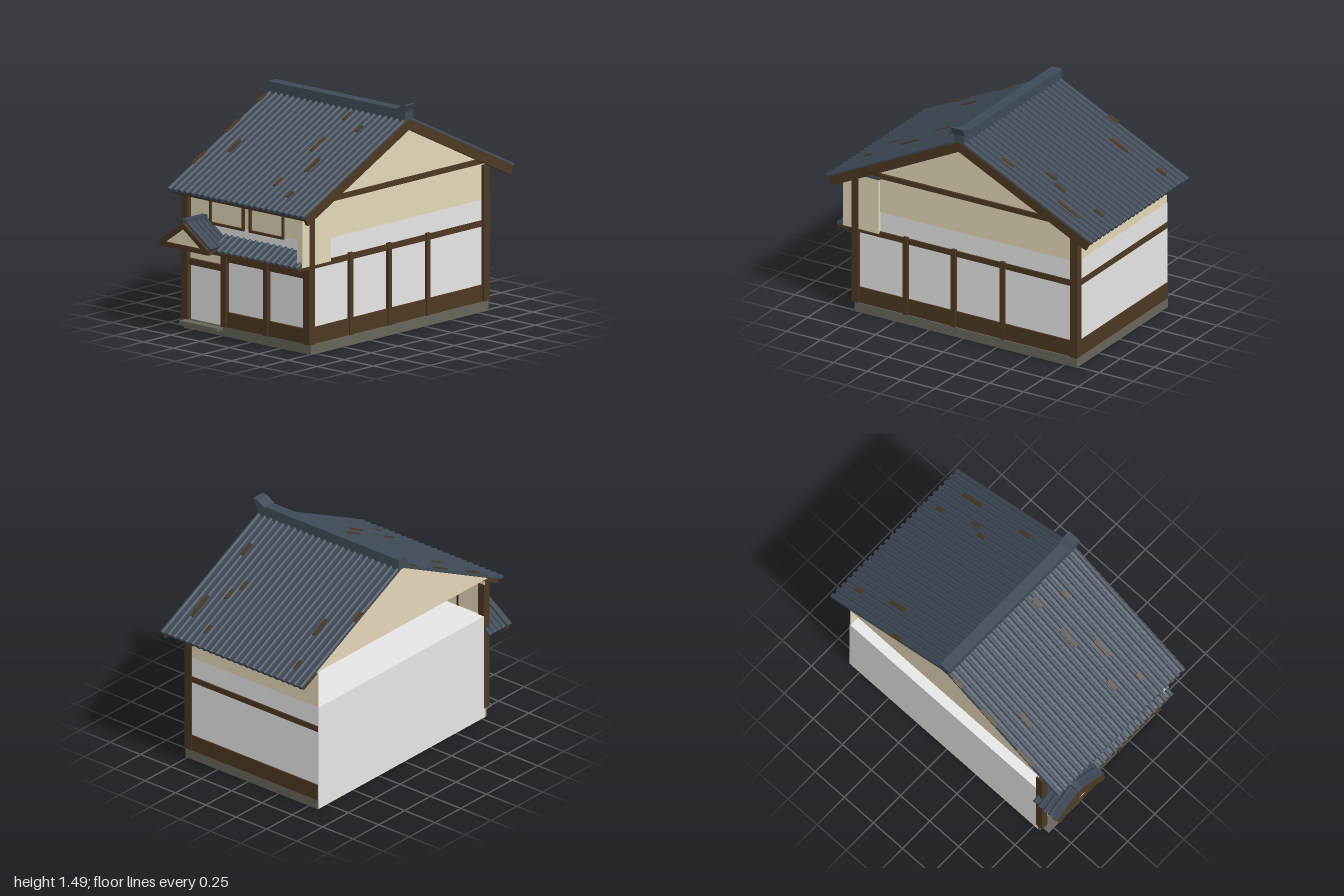
import * as THREE from 'three';

const mat = (name, color) => {
  const m = new THREE.MeshStandardMaterial({ color, side: THREE.DoubleSide });
  m.name = name;
  return m;
};

export function createModel() {
  const tile = mat('slate blue tile', 0x3f4b58);
  const wood = mat('dark wood', 0x4c3822);
  const plaster = mat('beige plaster', 0xe4d8ba);
  const paper = mat('pale panel', 0xe7e7e7);
  const stone = mat('grey stone', 0x66665b);

  const house = new THREE.Group();
  house.name = 'townhouse';

  const add = (parent, name, geo, material) => {
    const m = new THREE.Mesh(geo, material);
    m.name = name;
    parent.add(m);
    return m;
  };
  // Box given by its minimum and maximum on each axis
  const box = (name, material, x0, x1, y0, y1, z0, z1, parent = house) => {
    const m = add(parent, name, new THREE.BoxGeometry(x1 - x0, y1 - y0, z1 - z0), material);
    m.position.set((x0 + x1) / 2, (y0 + y1) / 2, (z0 + z1) / 2);
    return m;
  };
  // Flat outline in the xy plane, extruded along z
  const extrude = (points, depth) => new THREE.ExtrudeGeometry(
    new THREE.Shape(points.map(p => new THREE.Vector2(...p))), { depth, bevelEnabled: false });

  // Group whose local +z runs down a slope from its top edge
  const slope = (name, x, y, z, turn, pitch) => {
    const g = new THREE.Group();
    g.name = name;
    g.position.set(x, y, z);
    g.rotation.set(pitch, turn, 0, 'YXZ');
    house.add(g);
    return g;
  };
  // Sheet of tiles with round ribs and a disc at each eave end
  const tiles = (g, x0, x1, length, count, r) => {
    box('tileSheet', tile, x0, x1, -0.012, 0, 0, length, g);
    const rib = new THREE.CylinderGeometry(r, r, length, 8).rotateX(Math.PI / 2);
    const disc = new THREE.CylinderGeometry(r * 1.1, r * 1.1, 0.012, 10).rotateX(Math.PI / 2);
    for (let i = 0; i < count; i++) {
      const x = x0 + r + (x1 - x0 - 2 * r) * i / (count - 1);
      add(g, 'tileRib', rib, tile).position.set(x, 0, length / 2);
      add(g, 'eaveDisc', disc, tile).position.set(x, 0, length);
    }
  };

  // House block reaching the ground, with foundation strips on three sides
  box('houseBlock', paper, -0.575, 0.497, 0, 0.72, -0.835, 0.785);
  box('frontFoundation', stone, -0.575, 0.515, 0.001, 0.065, 0.785, 0.8);
  box('rightFoundation', stone, 0.499, 0.515, 0.001, 0.065, -0.835, 0.785);
  box('backFoundation', stone, -0.575, 0.515, 0.001, 0.065, -0.842, -0.835);
  box('doorstep', stone, -0.56, -0.24, 0.038, 0.06, 0.79, 0.86);

  // Upper walls; the left side is open between the block and its gable
  box('frontUpperWall', plaster, -0.573, 0.5, 0.72, 0.96, 0.777, 0.785);
  box('backUpperWall', plaster, -0.573, 0.5, 0.72, 0.975, -0.835, -0.827);
  const gableWall = (name, x, points) => {
    const m = add(house, name, extrude(points, 0.006), plaster);
    m.rotation.y = Math.PI / 2;
    m.position.x = x;
  };
  gableWall('rightGableWall', 0.493,
    [[-0.78, 0.72], [0.832, 0.72], [0.832, 0.965], [0.02, 1.365], [-0.78, 0.975]]);
  gableWall('leftGableWall', -0.573, [[-0.81, 0.975], [0.85, 0.975], [0.02, 1.383]]);

  // Front posts: x range and top
  for (const [a, b, top] of [[-0.577, -0.525, 0.94], [-0.24, -0.2, 0.56], [0.12, 0.155, 0.56]])
    box('frontPost', wood, a, b, 0.065, top, 0.77, 0.82);
  for (const z of [0.77, -0.845]) box('cornerPost', wood, 0.465, 0.519, 0.065, 0.945, z, z + 0.05);

  // Front ground-floor timbers and plaster strips
  box('frontSkirt', wood, -0.2, 0.465, 0.065, 0.16, 0.78, 0.805);
  box('windowHeader', wood, -0.2, 0.465, 0.485, 0.53, 0.78, 0.805);
  box('windowTopStrip', plaster, -0.2, 0.465, 0.53, 0.55, 0.785, 0.79);
  box('doorHeader', wood, -0.525, -0.24, 0.42, 0.46, 0.78, 0.81);
  box('doorTopStrip', plaster, -0.525, -0.24, 0.46, 0.555, 0.785, 0.79);
  box('frontTieBeam', wood, -0.575, 0.515, 0.548, 0.585, 0.78, 0.81);

  // Upper window frames
  for (const [a, b] of [[-0.36, -0.065], [-0.02, 0.273]]) {
    box('windowSill', wood, a, b, 0.705, 0.72, 0.78, 0.8);
    for (const x of [a, b - 0.014]) box('windowJamb', wood, x, x + 0.014, 0.72, 0.95, 0.775, 0.8);
  }

  // Right wall timbers
  box('rightSkirt', wood, 0.49, 0.508, 0.065, 0.172, -0.8, 0.77);
  box('rightMidBeam', wood, 0.49, 0.508, 0.55, 0.588, -0.8, 0.77);
  box('rightUpperBeam', wood, 0.485, 0.515, 0.957, 0.99, -0.82, 0.77);
  for (const z of [0.41, 0.055, -0.305])
    box('rightPost', wood, 0.49, 0.517, 0.065, 0.597, z, z + 0.033);

  // Back wall timbers
  box('backSkirt', wood, -0.573, 0.47, 0.065, 0.172, -0.843, -0.83);
  box('backMidBeam', wood, -0.573, 0.47, 0.55, 0.588, -0.843, -0.83);

  // Side fin wall with a tiled cap
  box('finWall', plaster, 0.47, 0.517, 0.575, 0.95, 0.62, 0.883);
  box('finCap', tile, 0.455, 0.525, 0.95, 0.966, 0.61, 0.77);

  // Main roof, front and back, with wooden boards under the tiles
  const pitch = 0.453, len = 1.08;
  for (const side of [1, -1]) {
    const g = slope(side > 0 ? 'frontRoof' : 'backRoof', 0, 1.398, -0.02, side > 0 ? 0 : Math.PI, pitch);
    const span = (a, b) => side > 0 ? [a, b] : [-b, -a];
    tiles(g, ...span(-0.575, 0.592), len, 24, 0.0145);
    box('roofBoards', wood, ...span(-0.562, 0.578), -0.044, -0.012, 0, len - 0.015, g);
    box('bargeBoard', wood, ...span(0.575, 0.597), -0.066, -0.004, 0, len - 0.005, g);
    // Bare wooden patches: x, distance from the ridge, length
    const patches = side > 0
      ? [[-0.405, 0.53, 0.12], [0.165, 0.1, 0.08], [0.165, 0.37, 0.15], [0.165, 0.74, 0.08],
        [0.28, 0.55, 0.14], [0.335, 0.18, 0.07], [0.335, 0.82, 0.06],
        [-0.566, 0.1, 0.08], [-0.566, 0.37, 0.14], [-0.566, 0.68, 0.14]]
      : [[-0.44, 0.85, 0.07], [-0.385, 0.57, 0.14], [0.3, 0.85, 0.07], [0.3, 0.5, 0.07],
        [0.345, 0.59, 0.08], [0.47, 0.73, 0.18], [0.47, 0.28, 0.1], [-0.566, 0.42, 0.08]];
    for (const [x, d, l] of patches) {
      const z = d / Math.cos(pitch);
      box('barePatch', wood, ...span(x - 0.013, x + 0.013), 0.0085, 0.016, z - l / 2, z + l / 2, g);
    }
  }
  box('ridge', tile, -0.577, 0.592, 1.38, 1.455, -0.057, 0.017);
  add(house, 'ridgeEndTile', extrude(
    [[0.52, 1.45], [0.56, 1.44], [0.593, 1.44], [0.618, 1.49], [0.58, 1.487]], 0.094), tile)
    .position.z = -0.065;

  // Lower front roof
  const lower = slope('lowerRoof', 0, 0.652, 0.785, 0, 0.5);
  tiles(lower, -0.235, 0.514, 0.155, 15, 0.0145);
  box('lowerEaveBoard', wood, -0.22, 0.517, 0.555, 0.574, 0.77, 0.93);

  // Porch gable over the door
  for (const side of [1, -1]) {
    const g = slope('porchRoof', -0.4, 0.742, 0, side * Math.PI / 2, 0.61);
    const span = (a, b) => side > 0 ? [-b, -a] : [a, b];
    tiles(g, ...span(0.78, 0.975), 0.255, 5, 0.0135);
    box('porchBoards', wood, ...span(0.79, 0.985), -0.024, -0.012, 0, 0.245, g);
    box('porchBarge', wood, ...span(0.978, 1), -0.032, 0, 0, 0.26, g);
    box('porchEdgeTile', tile, ...span(0.945, 0.98), 0, 0.0135, 0, 0.262, g);
  }
  box('porchRidge', tile, -0.42, -0.38, 0.735, 0.762, 0.79, 0.985);
  box('porchBeam', wood, -0.6, -0.19, 0.56, 0.592, 0.95, 0.988);
  for (const x of [-0.575, -0.235]) box('porchBracket', wood, x, x + 0.035, 0.56, 0.59, 0.79, 0.96);
  add(house, 'porchGable', extrude([[-0.59, 0.59], [-0.21, 0.59], [-0.4, 0.72]], 0.008), plaster)
    .position.z = 0.97;

  return house;
}
